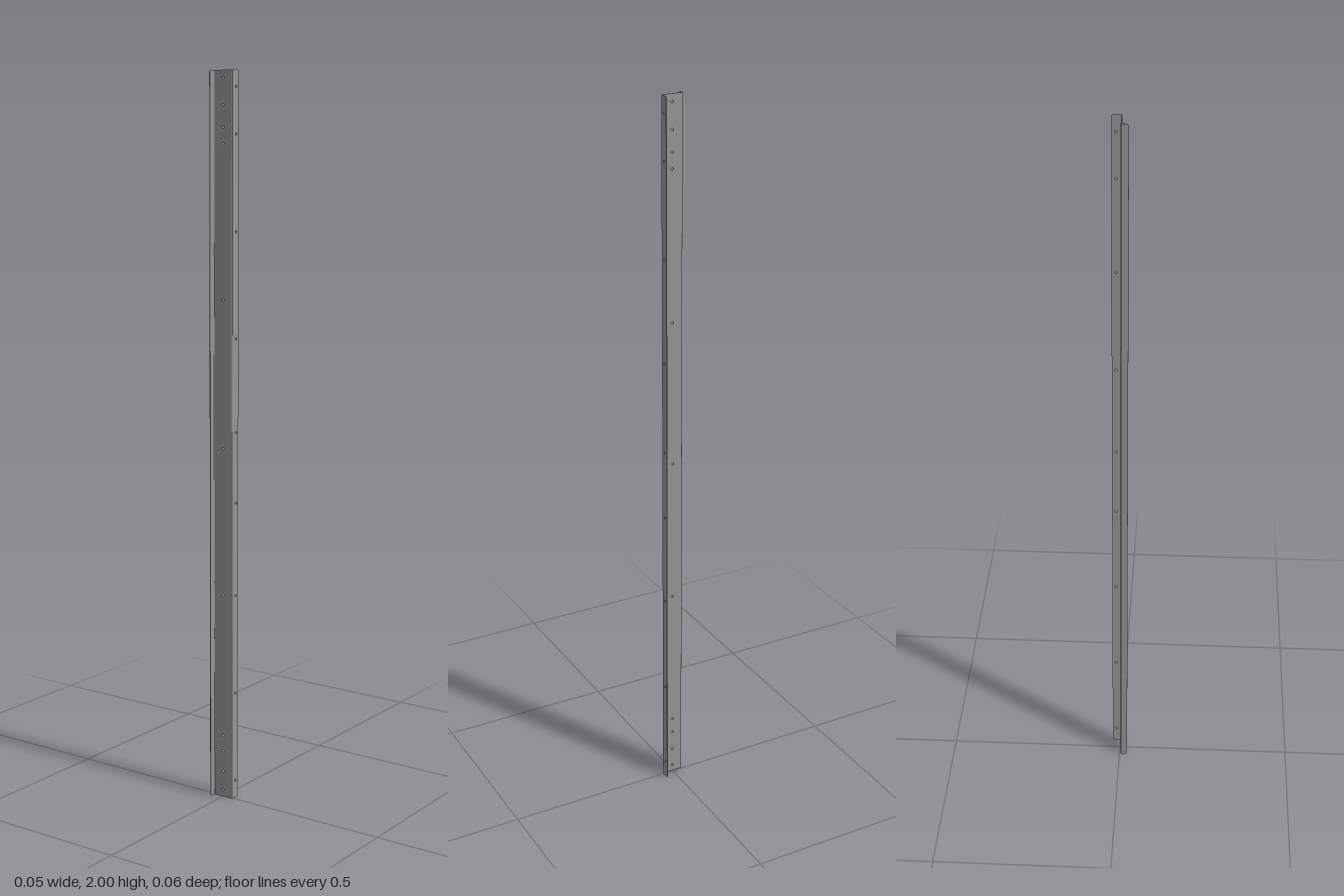
import * as THREE from 'three';
import { toCreasedNormals } from 'three/addons/utils/BufferGeometryUtils.js';

const LENGTH = 2, T = 0.002, BEND = 0.004; // sheet thickness, outer bend radius
const HALF_X = 0.023, HALF_Z = 0.031, WEB_X = -0.004;
const HOLE_R = 0.0035;

const material = new THREE.MeshStandardMaterial({ color: 0x949595 });

function extrude(name, shape, depth) {
  const geometry = new THREE.ExtrudeGeometry(shape, { depth, bevelEnabled: false, curveSegments: 10 });
  const mesh = new THREE.Mesh(toCreasedNormals(geometry, 0.6), material);
  mesh.name = name;
  return mesh;
}

// Upright plate from x = a to x = b; the corners at b are rounded by r
function plateShape(a, b, r, holeX, holeYs) {
  const s = new THREE.Shape();
  s.moveTo(a, 0);
  const d = Math.sign(b - a) * r;
  s.lineTo(b - d, 0);
  if (r) s.quadraticCurveTo(b, 0, b, r);
  s.lineTo(b, LENGTH - r);
  if (r) s.quadraticCurveTo(b, LENGTH, b - d, LENGTH);
  s.lineTo(a, LENGTH);
  s.closePath();
  for (const y of holeYs) {
    const hole = new THREE.Path();
    hole.absarc(holeX, y, HOLE_R, 0, Math.PI * 2, true);
    s.holes.push(hole);
  }
  return s;
}

// Quarter-round fold running the full length
function bend(name, x, z, start) {
  const s = new THREE.Shape();
  s.absarc(x, -z, BEND, start, start + Math.PI / 2, false);
  s.absarc(x, -z, BEND - T, start + Math.PI / 2, start, true);
  s.closePath();
  const mesh = extrude(name, s, LENGTH);
  mesh.rotation.x = -Math.PI / 2;
  return mesh;
}

export function createModel() {
  const group = new THREE.Group();
  group.name = 'zProfileRail';

  const foldZ = HALF_Z - BEND;
  const frontFoldX = WEB_X - T / 2 + BEND;
  const backFoldX = WEB_X + T / 2 - BEND;

  // Web with a row of holes on its centre line
  const webHoles = [0.02, 0.075, 0.135, 0.18, 0.585, 0.995, 1.4, 1.81, 1.853, 1.91, 1.98];
  const web = extrude('web', plateShape(-foldZ, foldZ, 0, 0, webHoles), T);
  web.rotation.y = -Math.PI / 2;
  web.position.x = WEB_X + T / 2;

  // Wide front flange with its own row of holes
  const flangeHoles = [0.05, 0.305, 0.585, 0.845, 1.04, 1.295, 1.58, 1.835, 1.957];
  const front = extrude('frontFlange', plateShape(frontFoldX, HALF_X, 0.007, 0.0115, flangeHoles), T);
  front.position.z = HALF_Z - T;

  // Narrow plain back flange
  const back = extrude('backFlange', plateShape(backFoldX, -HALF_X, 0.007, 0, []), T);
  back.position.z = -HALF_Z;

  group.add(
    web, front, back,
    bend('frontFold', frontFoldX, foldZ, Math.PI),
    bend('backFold', backFoldX, -foldZ, 0),
  );
  return group;
}
